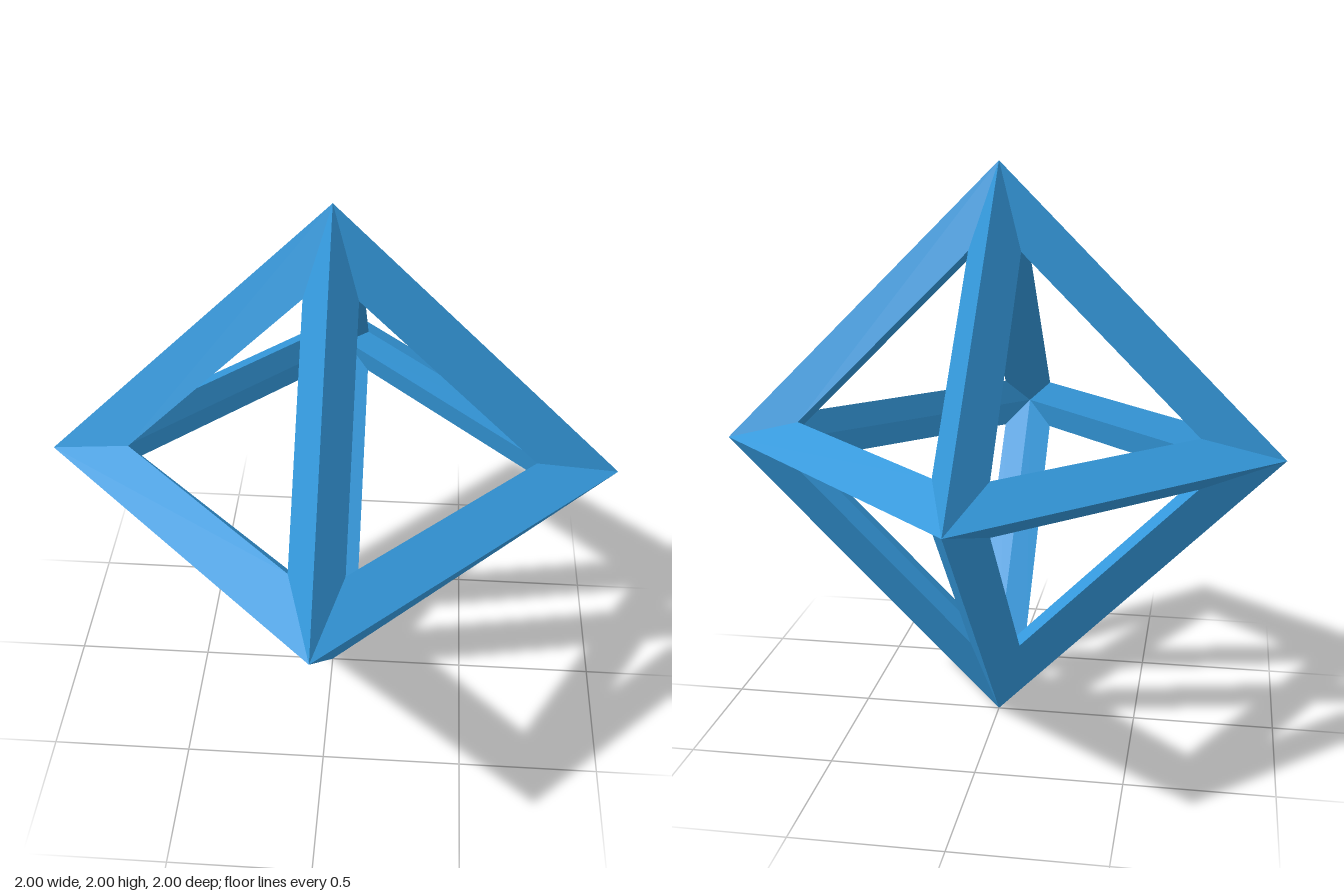
import * as THREE from 'three';

const OUTER = 1;      // outer corner distance from the centre
const INNER = 0.772;  // inner corner distance
const NEAR = 0.09;    // window corner: small coordinates
const FAR = 0.706;    // window corner: large coordinate

// Mitred rhombic bar joining the corners on the perpendicular unit axes u and v
function barGeometry(u, v) {
  const w = new THREE.Vector3().crossVectors(u, v);
  const at = (a, b, c) => new THREE.Vector3()
    .addScaledVector(u, a).addScaledVector(v, b).addScaledVector(w, c);

  // Cross-section at each end: outer ridge, one side, inner ridge, other side
  const start = [at(OUTER, 0, 0), at(FAR, NEAR, NEAR), at(INNER, 0, 0), at(FAR, NEAR, -NEAR)];
  const end = [at(0, OUTER, 0), at(NEAR, FAR, NEAR), at(0, INNER, 0), at(NEAR, FAR, -NEAR)];

  const points = [];
  for (let i = 0; i < 4; i++) {
    const j = (i + 1) % 4;
    points.push(start[i], end[i], end[j], start[i], end[j], start[j]);
  }
  const geometry = new THREE.BufferGeometry().setFromPoints(points);
  geometry.computeVertexNormals();
  return geometry;
}

export function createModel() {
  const model = new THREE.Group();
  model.name = 'octahedronFrame';
  const material = new THREE.MeshStandardMaterial({ color: 0x3498db, flatShading: true });

  // Twelve bars: each pair of axes, in all four sign combinations
  const axes = [
    new THREE.Vector3(1, 0, 0),
    new THREE.Vector3(0, 1, 0),
    new THREE.Vector3(0, 0, 1),
  ];
  for (let i = 0; i < 3; i++) {
    for (const su of [1, -1]) {
      for (const sv of [1, -1]) {
        const u = axes[i].clone().multiplyScalar(su);
        const v = axes[(i + 1) % 3].clone().multiplyScalar(sv);
        const bar = new THREE.Mesh(barGeometry(u, v), material);
        bar.name = 'edgeBar' + (model.children.length + 1);
        bar.position.y = 1;
        model.add(bar);
      }
    }
  }
  return model;
}
